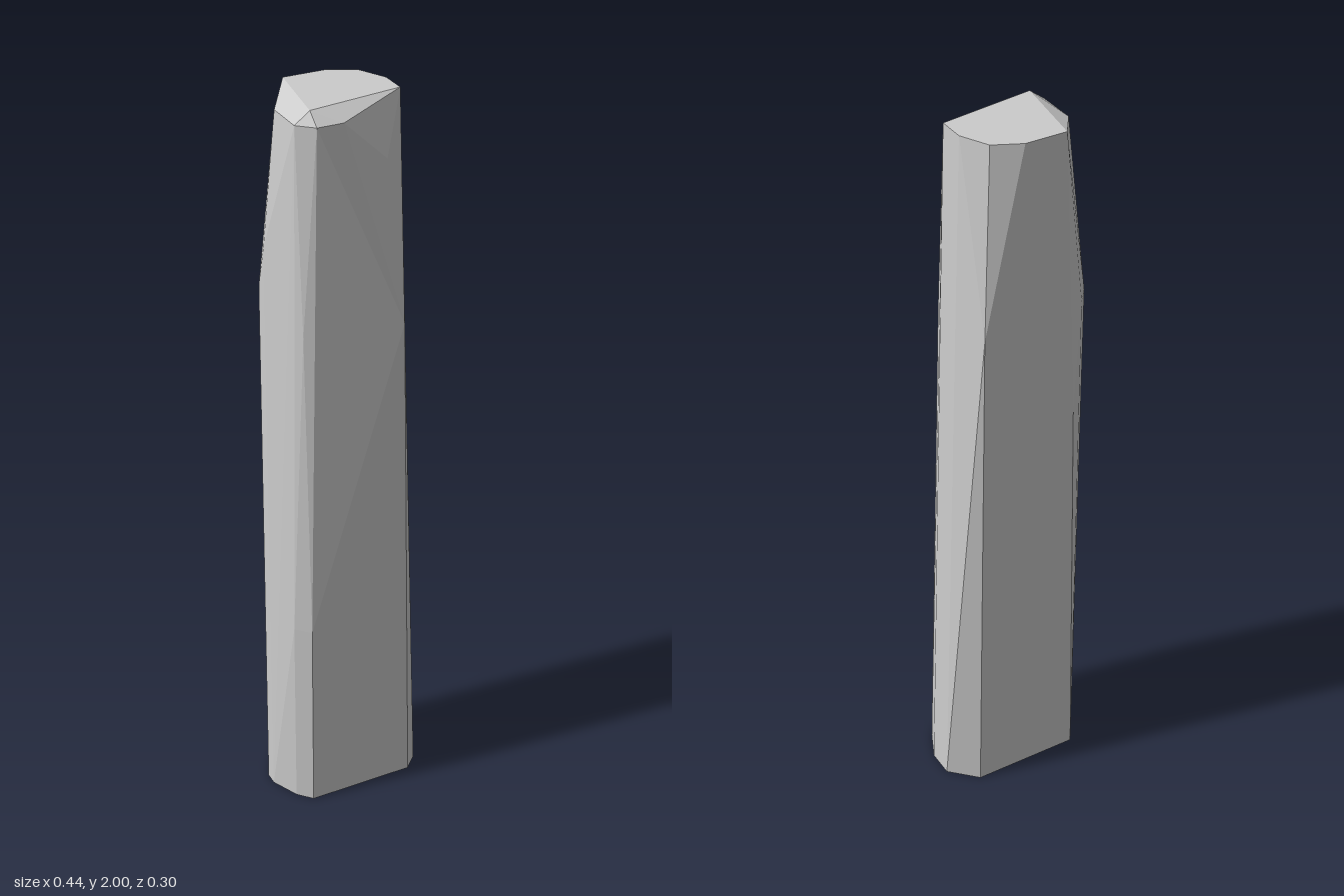
import * as THREE from 'three';
import { ConvexGeometry } from 'three/addons/geometries/ConvexGeometry.js';

// Corner rings, from the base to the cut top: height, then [x, z] pairs
const rings = [
  // base outline
  [0, [[0.15, -0.11], [0.22, -0.04], [0.22, 0.035], [0.185, 0.11], [0.147, 0.147],
    [-0.15, 0.147], [-0.185, 0.11], [-0.22, 0.035], [-0.22, 0], [-0.15, -0.113]]],
  // low front bevel
  [0.57, [[-0.15, 0.147], [-0.185, 0.11]]],
  // rear bulge
  [1.2, [[-0.11, -0.148], [0.04, -0.148]]],
  // shoulder where the taper begins
  [1.43, [[0.11, 0.147], [-0.15, 0.11]]],
  [1.5, [[0.147, -0.148], [-0.15, -0.113], [-0.185, -0.07]]],
  [1.62, [[-0.185, -0.037]]],
  [1.86, [[0.075, 0.11]]],
  // chipped front edge of the top
  [1.97, [[-0.11, 0.11], [-0.04, 0.11], [-0.15, 0.073], [-0.15, -0.037]]],
  // top face
  [2, [[-0.075, -0.148], [0.037, -0.148], [0.11, -0.113], [0.147, -0.038], [0.147, 0.035], [-0.11, 0.073]]],
];

export function createModel() {
  const group = new THREE.Group();
  group.name = 'standingStone';

  // One faceted convex stone through all the corners
  const points = rings.flatMap(([y, corners]) => corners.map(([x, z]) => new THREE.Vector3(x, y, z)));
  const stone = new THREE.Mesh(
    new ConvexGeometry(points),
    new THREE.MeshStandardMaterial({ color: 0xcccccc, flatShading: true })
  );
  stone.name = 'stone';
  group.add(stone);
  return group;
}
